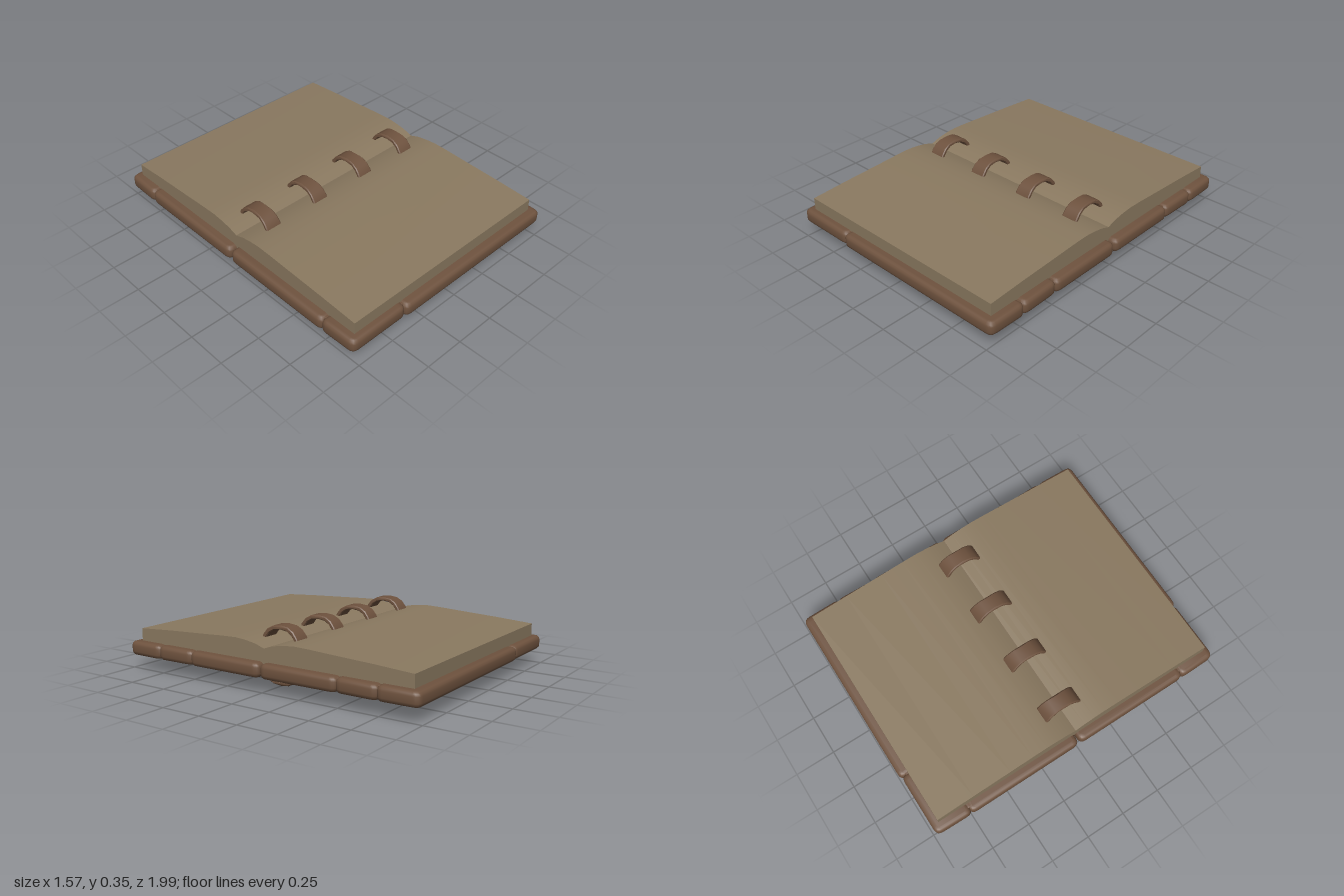
import * as THREE from 'three';
import { toCreasedNormals } from 'three/addons/utils/BufferGeometryUtils.js';

const leather = new THREE.MeshStandardMaterial({ color: 0x6e523e });
const strapLeather = new THREE.MeshStandardMaterial({ color: 0x6e523e });
const paper = new THREE.MeshStandardMaterial({ color: 0x8a7960 });
const thread = new THREE.MeshStandardMaterial({ color: 0x8e3a30 });

function addMesh(parent, name, geometry, material) {
  const mesh = new THREE.Mesh(geometry, material);
  mesh.name = name;
  parent.add(mesh);
  return mesh;
}

// Polygon outline whose corners are cut by r and rounded
function roundedShape(points, r, Type = THREE.Shape) {
  const pts = points.map(([x, y]) => new THREE.Vector2(x, y));
  const shape = new Type();
  pts.forEach((p, i) => {
    const prev = pts[(i + pts.length - 1) % pts.length];
    const next = pts[(i + 1) % pts.length];
    const a = p.clone().add(prev.clone().sub(p).setLength(r));
    const b = p.clone().add(next.clone().sub(p).setLength(r));
    if (i === 0) shape.moveTo(a.x, a.y);
    else shape.lineTo(a.x, a.y);
    shape.quadraticCurveTo(p.x, p.y, b.x, b.y);
  });
  shape.closePath();
  return shape;
}

// Flat slab with soft edges lying in the xz plane, between yBottom and yTop
function slab(shape, yTop, yBottom, bevel) {
  const g = new THREE.ExtrudeGeometry(shape, {
    depth: yTop - yBottom - 2 * bevel, bevelThickness: bevel, bevelSize: bevel,
    bevelOffset: -bevel, bevelSegments: 3, curveSegments: 4,
  });
  g.rotateX(Math.PI / 2);
  g.translate(0, yTop - bevel, 0);
  return toCreasedNormals(g, 0.7);
}

// Leather patches of one cover board, as x and distance from the spine
const patches = {
  cornerPatch: [[-0.785, 0.745], [-0.375, 0.745], [-0.385, 0.985], [-0.78, 0.985]],
  edgePatch: [[-0.385, 0.745], [0.785, 0.745], [0.78, 0.995], [-0.395, 0.995]],
  sidePatch: [[0.09, 0.755], [0.19, 0.495], [0.78, 0.495], [0.785, 0.755]],
  mainPatch: [[-0.785, 0.004], [0.785, 0.004], [0.785, 0.505], [0.2, 0.505], [0.1, 0.755], [-0.785, 0.755]],
};

// Seams sewn with red thread: start, end, number of stitches
const seams = [
  [[0.7, 0.75], [-0.7, 0.75], 12],
  [[0.7, 0.5], [0.25, 0.5], 5],
  [[0.18, 0.55], [0.12, 0.7], 3],
  [[-0.38, 0.8], [-0.39, 0.94], 3],
];

function createCover(side) {
  const cover = new THREE.Group();
  const flip = (points) => points.map(([x, z]) => [x, z * side]);

  for (const [name, points] of Object.entries(patches)) {
    addMesh(cover, name, slab(roundedShape(flip(points), 0.04), 0.17, 0.085, 0.025), leather);
  }
  // Inner board fills the grooves between patches
  const board = flip([[-0.755, 0.02], [0.755, 0.02], [0.755, 0.96], [-0.755, 0.96]]);
  addMesh(cover, 'innerBoard', slab(roundedShape(board, 0.03), 0.165, 0.088, 0.01), leather);

  const stitches = new THREE.Group();
  stitches.name = 'stitches';
  const geometry = new THREE.CapsuleGeometry(0.006, 0.045, 2, 6).rotateX(Math.PI / 2);
  for (const [a, b, n] of seams) {
    const angle = Math.atan2(-(b[1] - a[1]) * side, b[0] - a[0]);
    for (let i = 0; i < n; i++) {
      const t = i / (n - 1);
      const stitch = addMesh(stitches, 'stitch', geometry, thread);
      stitch.position.set(a[0] + (b[0] - a[0]) * t, 0.083, (a[1] + (b[1] - a[1]) * t) * side);
      stitch.rotation.y = angle + (i % 2 ? 0.2 : 0.45);
    }
  }
  cover.add(stitches);
  return cover;
}

// Open page block, swelling beside the central fold
function createPages() {
  const half = [[0.13, 0.277], [0.2, 0.283], [0.3, 0.28], [0.45, 0.272], [0.7, 0.26], [0.94, 0.245]];
  const shape = new THREE.Shape();
  shape.moveTo(-0.94, 0.15);
  shape.lineTo(0.94, 0.15);
  [...half].reverse().forEach(([z, y]) => shape.lineTo(z, y));
  shape.lineTo(0.06, 0.265);
  shape.lineTo(0, 0.245);
  shape.lineTo(-0.06, 0.265);
  half.forEach(([z, y]) => shape.lineTo(-z, y));
  const g = new THREE.ExtrudeGeometry(shape, { depth: 1.455, bevelEnabled: false });
  g.translate(0, 0, -0.7275);
  g.rotateY(Math.PI / 2);
  return toCreasedNormals(g, 0.3);
}

// Closed strap looping through the book, a little wider where it enters the pages
function createStrap() {
  const ring = (rz, ry) => Array.from({ length: 20 }, (_, i) => {
    const a = (i / 20) * Math.PI * 2;
    const c = Math.cos(a), s = Math.sin(a), e = 0.82;
    return new THREE.Vector2(Math.sign(c) * Math.abs(c) ** e * rz, Math.sign(s) * Math.abs(s) ** e * ry);
  });
  const shape = new THREE.Shape(ring(0.14, 0.174));
  shape.holes.push(new THREE.Path(ring(0.117, 0.15)));
  const g = new THREE.ExtrudeGeometry(shape, {
    depth: 0.088, bevelThickness: 0.006, bevelSize: 0.005, bevelOffset: -0.005, bevelSegments: 1,
  });
  g.translate(0, 0, -0.044);
  g.rotateY(Math.PI / 2);
  const p = g.attributes.position;
  for (let i = 0; i < p.count; i++) {
    p.setX(i, p.getX(i) * (0.86 + 0.2 * Math.min(1, Math.abs(p.getZ(i)) / 0.13)));
  }
  g.translate(0, 0.174, 0);
  return toCreasedNormals(g, 0.6);
}

// Slotted reinforcement under the cover where a strap comes through
function createSlotFrame(side) {
  const rect = (w, z0, z1) => [[-w, z0], [w, z0], [w, z1], [-w, z1]].map(([x, z]) => [x, z * side]);
  const shape = roundedShape(rect(0.125, 0.065, 0.18), 0.025);
  shape.holes.push(roundedShape(rect(0.075, 0.095, 0.148), 0.012, THREE.Path));
  return slab(shape, 0.095, 0.062, 0.009);
}

export function createModel() {
  const book = new THREE.Group();
  book.name = 'openBook';

  const frontCover = createCover(1);
  frontCover.name = 'frontCover';
  const backCover = createCover(-1);
  backCover.name = 'backCover';
  book.add(frontCover, backCover);

  addMesh(book, 'pages', createPages(), paper);

  // Four binding straps along the spine
  const strapGeometry = createStrap();
  const frames = [createSlotFrame(1), createSlotFrame(-1)];
  for (const x of [-0.55, -0.19, 0.18, 0.54]) {
    const binding = new THREE.Group();
    binding.name = 'binding';
    binding.position.x = x;
    addMesh(binding, 'strap', strapGeometry, strapLeather);
    frames.forEach((g) => addMesh(binding, 'slotFrame', g, strapLeather));
    book.add(binding);
  }
  return book;
}
